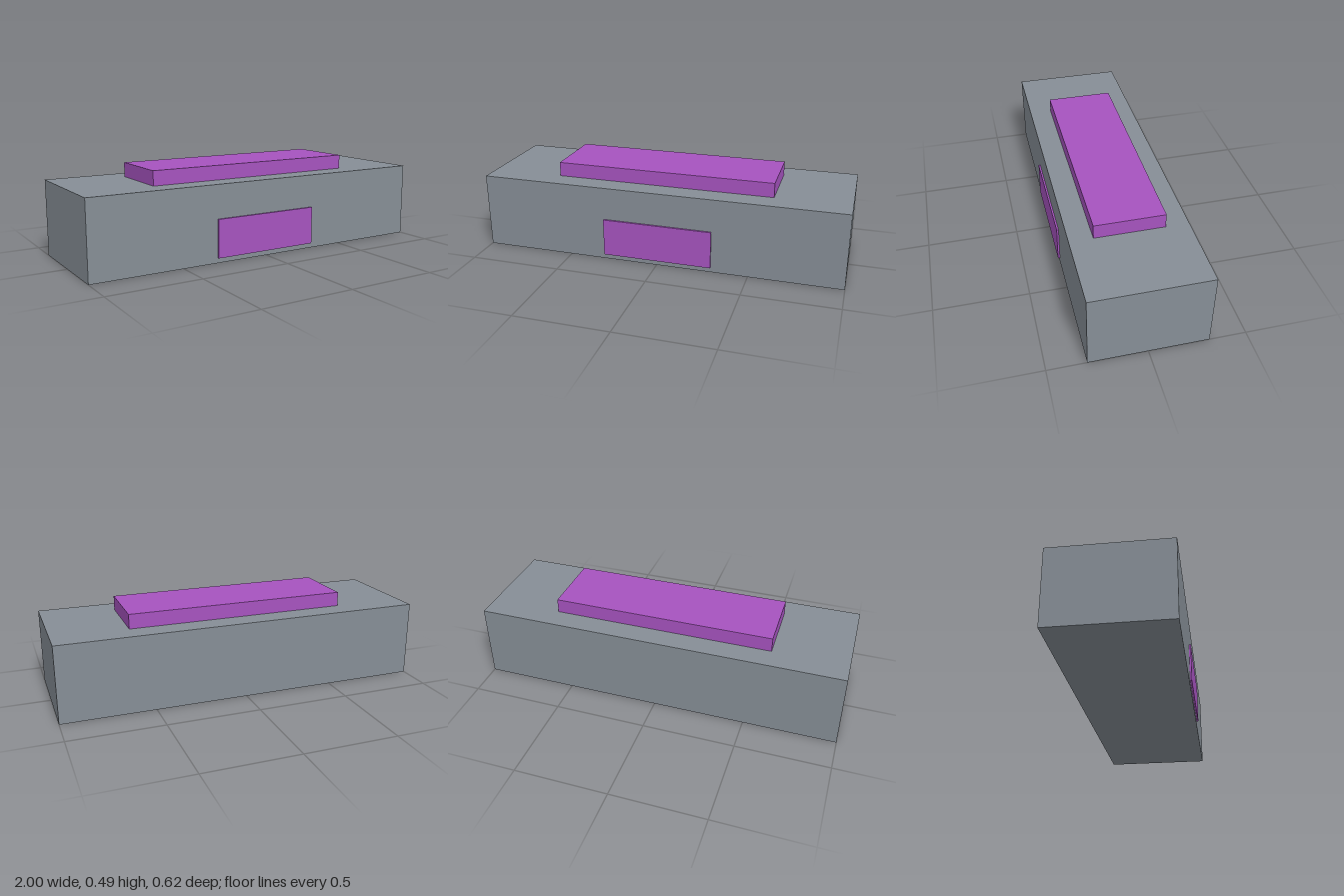
import * as THREE from 'three';

const slate = new THREE.MeshStandardMaterial({ color: 0x868e96 });
const purple = new THREE.MeshStandardMaterial({ color: 0xa653bf });

// Box given by its size, the height of its underside and its centre in z
function box(name, material, [w, h, d], bottom, z) {
  const mesh = new THREE.Mesh(new THREE.BoxGeometry(w, h, d), material);
  mesh.name = name;
  mesh.position.set(0, bottom + h / 2, z);
  return mesh;
}

export function createModel() {
  const model = new THREE.Group();
  model.name = 'block';
  const bodyHeight = 0.413;
  const bodyDepth = 0.612;
  const bodyZ = -0.005;

  // Main block
  model.add(box('body', slate, [2, bodyHeight, bodyDepth], 0, bodyZ));

  // Raised slab resting on top
  model.add(box('topSlab', purple, [1.2, 0.078, 0.367], bodyHeight, bodyZ));

  // Thin plate on the front face
  const plateDepth = 0.01;
  const plateZ = bodyZ + bodyDepth / 2 + plateDepth / 2;
  model.add(box('frontPlate', purple, [0.6, 0.206, plateDepth], 0.027, plateZ));

  return model;
}
